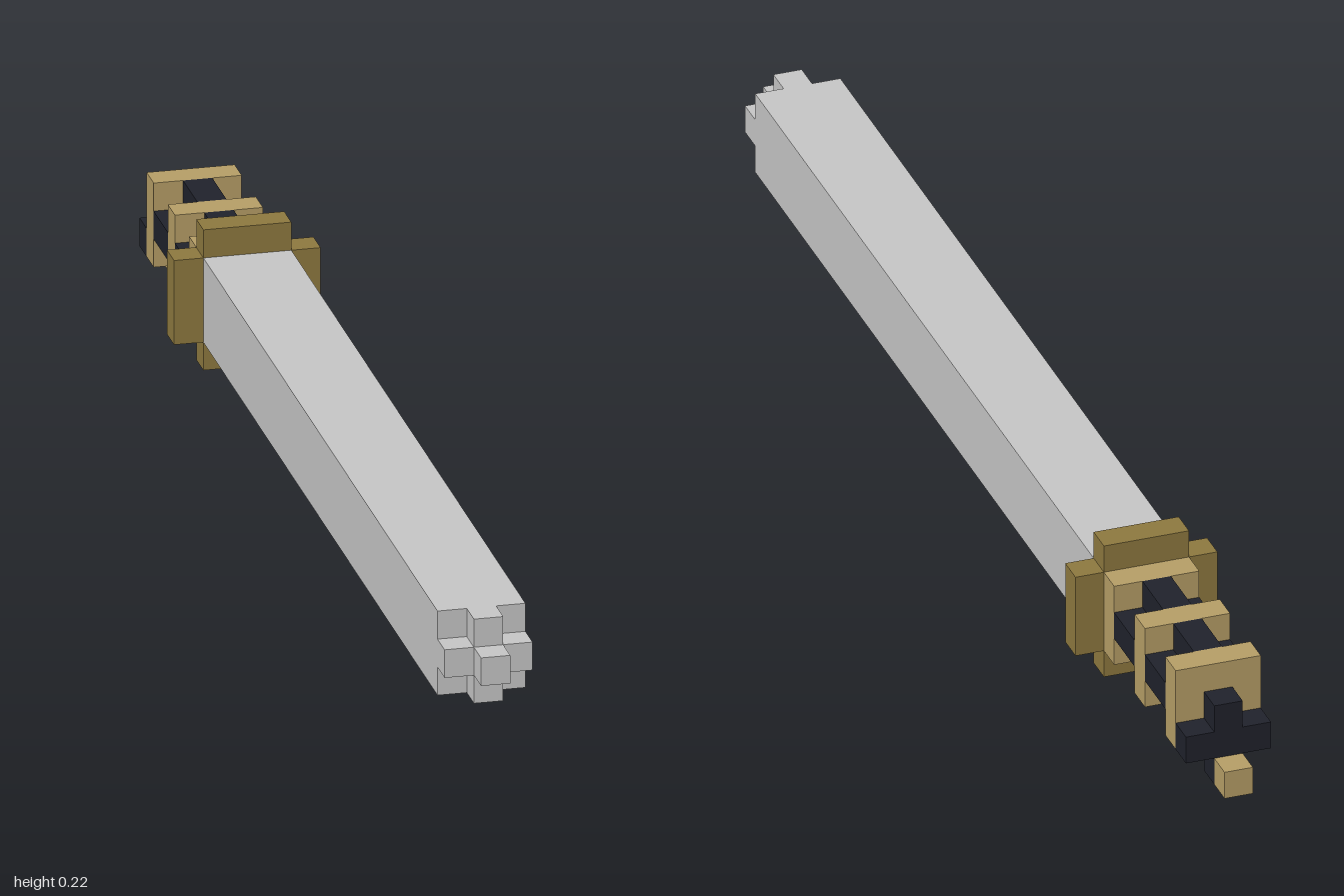
import * as THREE from 'three';

const U = 2 / 45; // one block of the grid

const paint = (name, color) => {
  const m = new THREE.MeshStandardMaterial({ color });
  m.name = name;
  return m;
};

// Cross outline: a bar of half width w and a bar of half height h, with inner corner at (iw, ih)
function crossShape(w, h, iw, ih) {
  const quarter = [[iw, h], [iw, ih], [w, ih]];
  const pts = [
    ...quarter.map(([x, y]) => [x, y]),
    ...[...quarter].reverse().map(([x, y]) => [x, -y]),
    ...quarter.map(([x, y]) => [-x, -y]),
    ...[...quarter].reverse().map(([x, y]) => [-x, y]),
  ];
  return new THREE.Shape(pts.map(([x, y]) => new THREE.Vector2(x * U, y * U)));
}

export function createModel() {
  const model = new THREE.Group();
  model.name = 'sword';

  const steel = paint('steel', 0xc8c8c8);
  const bronze = paint('bronze', 0x8f7a40);
  const gold = paint('paleGold', 0xb8a068);
  const wrap = paint('darkWrap', 0x20222c);

  // Lengths are counted in blocks back from the tip; y is the block height of the centre
  const place = (name, geometry, material, from, to, y) => {
    const mesh = new THREE.Mesh(geometry, material);
    mesh.name = name;
    mesh.position.set(0, y * U, 1 - ((from + to) / 2) * U);
    model.add(mesh);
  };
  const block = (name, material, from, to, size, y = 2.5) =>
    place(name, new THREE.BoxGeometry(size * U, size * U, (to - from) * U), material, from, to, y);
  const cross = (name, material, from, to, y = 2.5, dims = [1.5, 1.5, 0.5, 0.5]) => {
    const depth = (to - from) * U;
    const g = new THREE.ExtrudeGeometry(crossShape(...dims), { depth, bevelEnabled: false });
    g.translate(0, 0, -depth / 2);
    place(name, g, material, from, to, y);
  };

  // Blade with a stepped tip
  block('bladeTip', steel, 0, 1, 1);
  cross('bladeShoulder', steel, 1, 2);
  block('blade', steel, 2, 35, 3);

  // Guard
  cross('guard', bronze, 35, 36, 2.5, [2.5, 2.5, 1.5, 1.5]);

  // Grip: square rings with wrapped sections between them
  [36, 39, 42].forEach((z, i) => block(`gripRing${i + 1}`, gold, z, z + 1, 3));
  [37, 40].forEach((z, i) => cross(`gripWrap${i + 1}`, wrap, z, z + 2));

  // Drooping pommel
  cross('pommel', wrap, 43, 44, 1.5);
  block('pommelCap', gold, 44, 45, 1, 0.5);

  return model;
}
